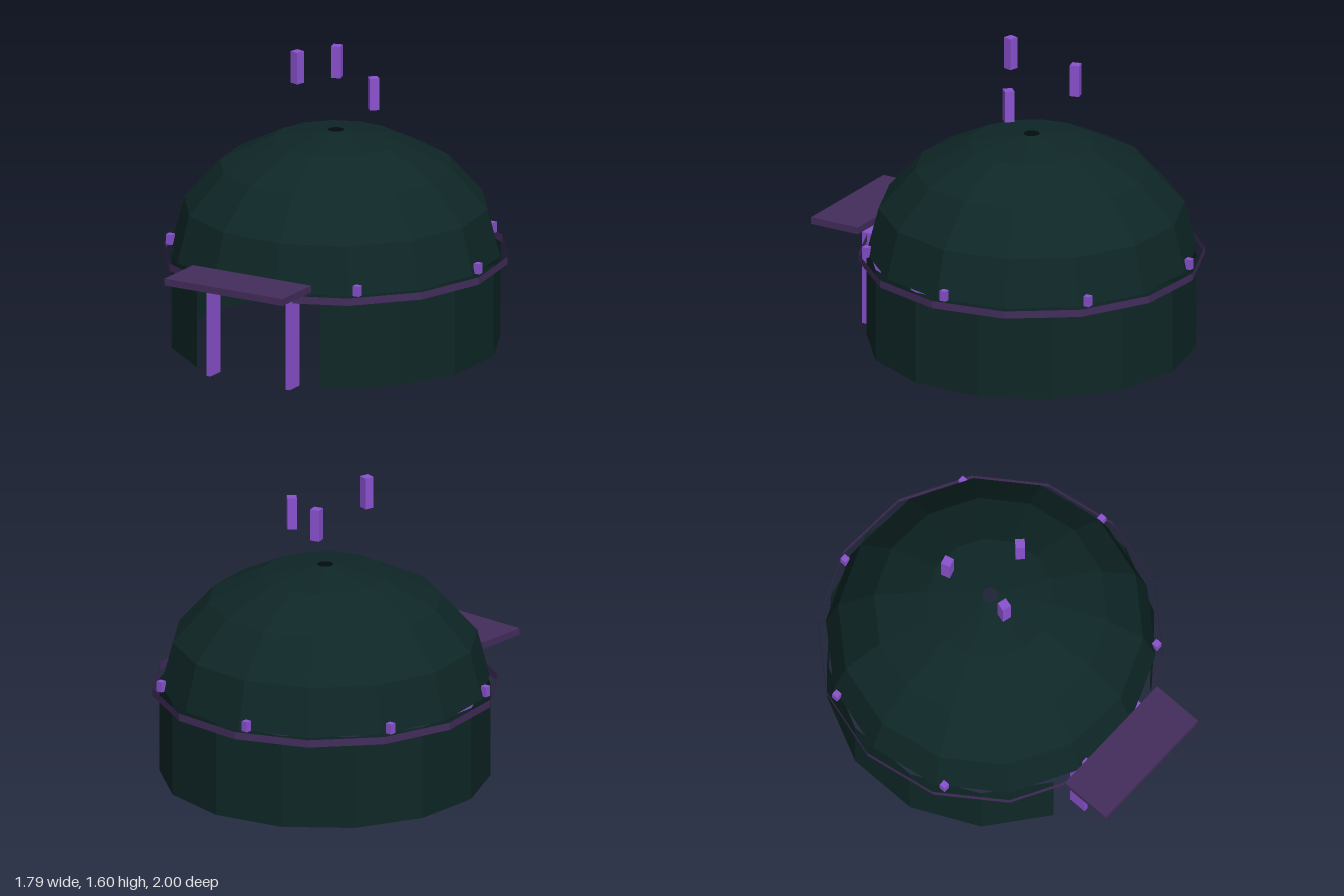
import * as THREE from 'three';

const DOME_Z = -0.12;   // centre of the round hall
const PHASE = 0.168;    // turn of the roof facets
const TAU = Math.PI * 2;

export function createModel() {
  const model = new THREE.Group();
  model.name = 'domedPavilion';

  const mat = (name, color, extra = {}) => {
    const m = new THREE.MeshStandardMaterial({ color, flatShading: true, ...extra });
    m.name = name;
    return m;
  };
  const shell = mat('darkTeal', 0x0f2727, { side: THREE.DoubleSide });
  const trim = mat('darkPurple', 0x432d5c, { side: THREE.DoubleSide });
  const glow = mat('brightPurple', 0x8a52d0);

  const add = (name, geometry, material, x, y, z, turn = 0) => {
    const mesh = new THREE.Mesh(geometry, material);
    mesh.name = name;
    mesh.position.set(x, y, z);
    mesh.rotation.y = turn;
    model.add(mesh);
    return mesh;
  };

  // Round wall, open at the doorway
  add('wall', new THREE.CylinderGeometry(0.857, 0.857, 0.5, 12, 1, true, 0.45, TAU - 0.9),
    shell, 0, 0.25, DOME_Z);

  // Faceted dome with a small smoke hole
  const profile = [[0.857, 0], [0.793, 0.248], [0.607, 0.457], [0.33, 0.597], [0.042, 0.645]]
    .map(([r, y]) => new THREE.Vector2(r, y));
  add('dome', new THREE.LatheGeometry(profile, 14, PHASE, TAU), shell, 0, 0.5, DOME_Z);

  // Thin band around the eaves
  add('eavesBand', new THREE.CylinderGeometry(0.898, 0.898, 0.04, 14, 1, true, PHASE, TAU),
    trim, 0, 0.48, DOME_Z);

  // Seven small studs standing on the eaves
  const stud = new THREE.BoxGeometry(0.034, 0.055, 0.034);
  for (let i = 0; i < 7; i++) {
    const a = (i / 7) * TAU;
    add('eavesStud', stud, glow, 0.86 * Math.cos(a), 0.53, DOME_Z + 0.86 * Math.sin(a));
  }

  // Door frame
  for (const s of [1, -1]) {
    add(s > 0 ? 'leftDoorPost' : 'rightDoorPost', new THREE.BoxGeometry(0.024, 0.5, 0.1),
      glow, s * 0.239, 0.25, 0.706);
  }
  add('doorLintel', new THREE.BoxGeometry(0.502, 0.022, 0.1), glow, 0, 0.493, 0.706);

  // Flat canopy over the door
  add('canopy', new THREE.BoxGeometry(0.714, 0.037, 0.285), trim, 0, 0.552, 0.857);

  // Three shards floating above the dome
  const shard = new THREE.BoxGeometry(0.05, 0.17, 0.05);
  [1.375, 1.515, 1.445].forEach((y, i) => {
    const a = (i / 3) * TAU;
    add('floatingShard', shard, glow, 0.228 * Math.cos(a), y, DOME_Z + 0.228 * Math.sin(a),
      Math.PI / 4 + a);
  });

  return model;
}
